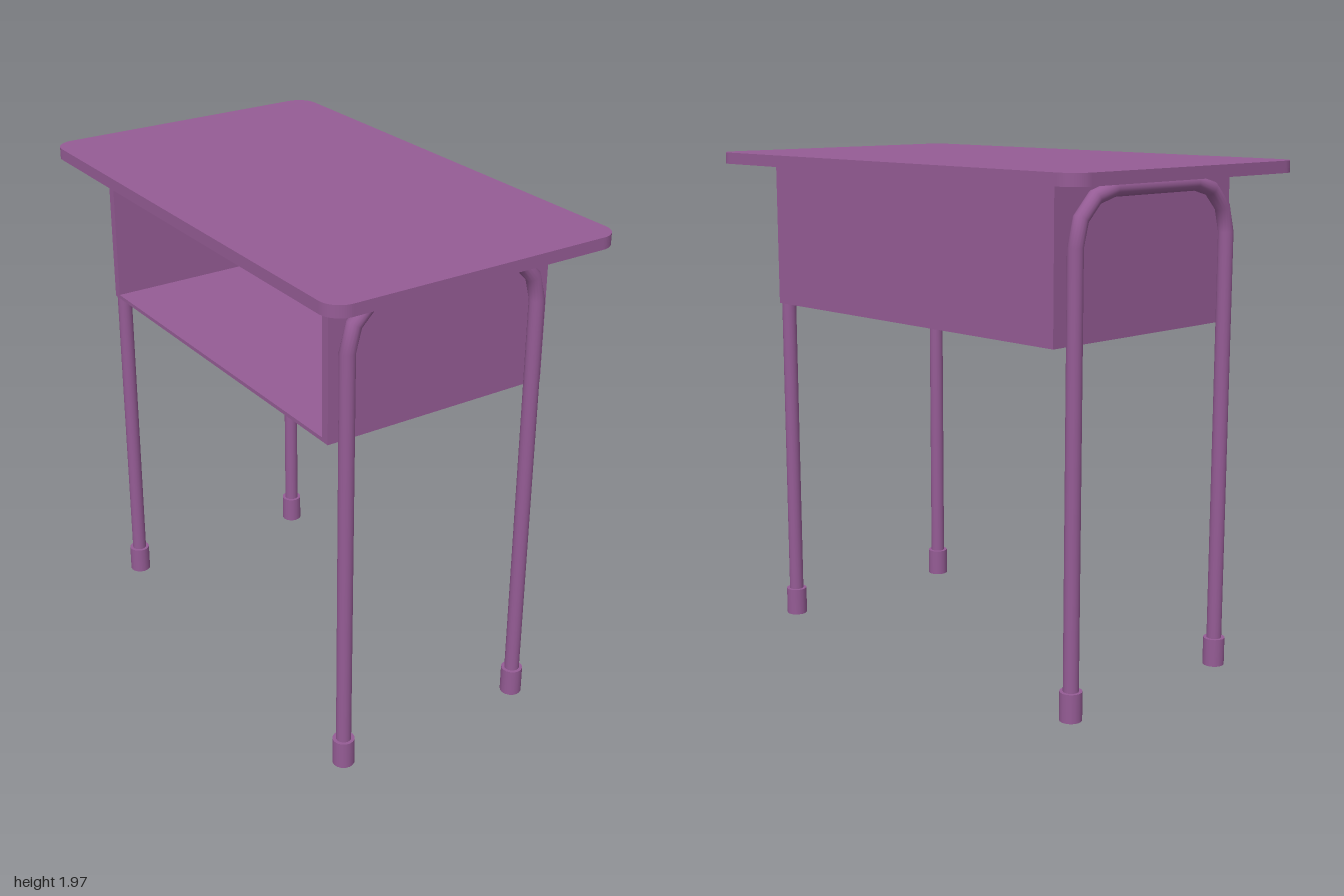
import * as THREE from 'three';

const material = new THREE.MeshStandardMaterial({ color: 0x955c95 });

function addMesh(parent, name, geometry, x = 0, y = 0, z = 0) {
  const mesh = new THREE.Mesh(geometry, material);
  mesh.name = name;
  mesh.position.set(x, y, z);
  parent.add(mesh);
  return mesh;
}

// Board with rounded corners, lying flat with its underside at y = 0
function roundedBoard(width, depth, height, r) {
  const x = width / 2 - r, z = depth / 2 - r;
  const s = new THREE.Shape();
  s.absarc(x, z, r, 0, Math.PI / 2);
  s.absarc(-x, z, r, Math.PI / 2, Math.PI);
  s.absarc(-x, -z, r, Math.PI, Math.PI * 1.5);
  s.absarc(x, -z, r, Math.PI * 1.5, Math.PI * 2);
  s.closePath();
  return new THREE.ExtrudeGeometry(s, { depth: height, bevelEnabled: false, curveSegments: 8 })
    .rotateX(-Math.PI / 2);
}

// Upside-down U path that steps exactly through its few bend points
class LegPath extends THREE.Curve {
  constructor(halfWidth, top, bend, steps) {
    super();
    this.points = [new THREE.Vector3(-halfWidth, 0.03, 0)];
    this.tangents = [new THREE.Vector3(0, 1, 0)];
    for (const side of [-1, 1]) {
      for (let i = 0; i <= steps; i++) {
        const a = (side < 0 ? Math.PI : Math.PI / 2) - (i / steps) * Math.PI / 2;
        this.points.push(new THREE.Vector3(
          side * (halfWidth - bend) + bend * Math.cos(a), top - bend + bend * Math.sin(a), 0));
        this.tangents.push(new THREE.Vector3(Math.sin(a), -Math.cos(a), 0));
      }
    }
    this.points.push(new THREE.Vector3(halfWidth, 0.03, 0));
    this.tangents.push(new THREE.Vector3(0, -1, 0));
  }
  get spans() { return this.points.length - 1; }
  getPoint(t, target = new THREE.Vector3()) {
    const f = t * this.spans;
    const i = Math.min(Math.floor(f + 1e-6), this.spans - 1);
    return target.copy(this.points[i]).lerp(this.points[i + 1], f - i);
  }
  getPointAt(u, target) { return this.getPoint(u, target); }
  getTangentAt(u, target = new THREE.Vector3()) {
    return target.copy(this.tangents[Math.round(u * this.spans)]);
  }
}

export function createModel() {
  const desk = new THREE.Group();
  desk.name = 'schoolDesk';

  // Table top
  addMesh(desk, 'tableTop', roundedBoard(1.2, 2, 0.045, 0.08), 0, 1.92, 0);

  // Book box under the top, open towards -x
  const box = new THREE.Group();
  box.name = 'bookBox';
  desk.add(box);
  const bottom = 1.355, height = 0.565, width = 0.94, depth = 1.565;
  const floor = 0.015, wall = 0.035;
  addMesh(box, 'boxFloor', new THREE.BoxGeometry(width, floor, depth), 0, bottom + floor / 2, 0);
  const wallHeight = height - floor, wallY = bottom + floor + wallHeight / 2;
  for (const side of [-1, 1]) {
    addMesh(box, side > 0 ? 'boxFrontWall' : 'boxBackWall',
      new THREE.BoxGeometry(width, wallHeight, wall), 0, wallY, side * (depth - wall) / 2);
  }
  addMesh(box, 'boxLongWall', new THREE.BoxGeometry(0.02, wallHeight, depth - 2 * wall),
    width / 2 - 0.01, wallY, 0);

  // Bent tube leg frames with foot caps, one at each end
  const halfSpan = 0.407;
  const path = new LegPath(halfSpan, 1.89, 0.19, 3);
  const tube = new THREE.TubeGeometry(path, path.spans, 0.029, 16, false);
  const cap = new THREE.CylinderGeometry(0.042, 0.042, 0.11, 16);
  for (const side of [-1, 1]) {
    const frame = new THREE.Group();
    frame.name = side > 0 ? 'frontLegFrame' : 'backLegFrame';
    frame.position.set(-0.008, 0, side * 0.815);
    desk.add(frame);
    addMesh(frame, 'legTube', tube);
    addMesh(frame, 'rightFoot', cap, -halfSpan, 0.055, 0);
    addMesh(frame, 'leftFoot', cap, halfSpan, 0.055, 0);
  }
  return desk;
}
